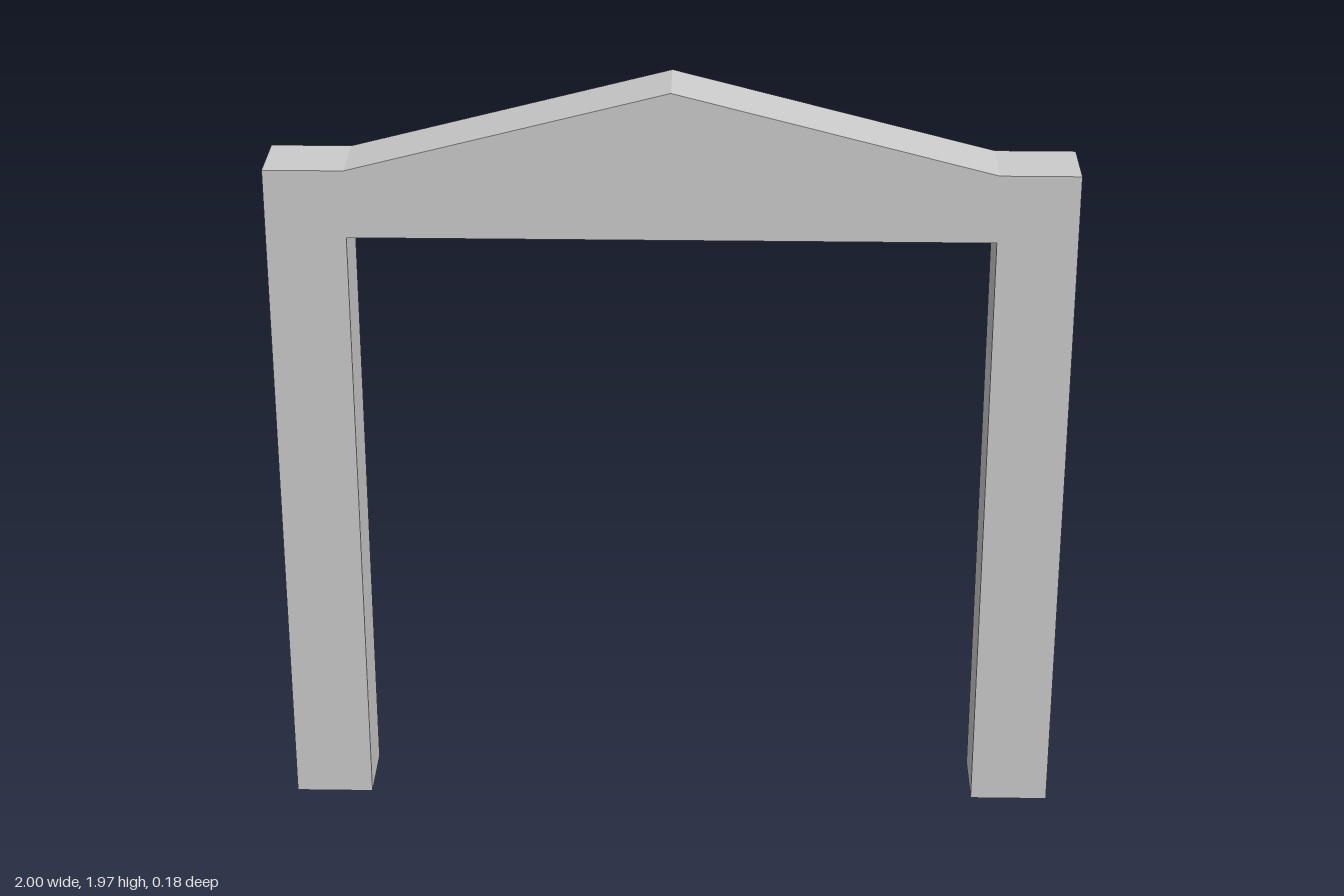
import * as THREE from 'three';

const DEPTH = 0.18;
const HALF_WIDTH = 1;
const INNER = 0.8;      // inner face of each post
const SHOULDER = 1.765; // top of the posts
const PEAK = 1.97;      // top of the gable
const UNDERSIDE = 1.59; // bottom of the lintel

export function createModel() {
  const group = new THREE.Group();
  group.name = 'gabledGateway';

  // Right half of the outline, from the foot of the post's inner face up to the shoulder
  const half = [
    [INNER, UNDERSIDE], [INNER, 0], [HALF_WIDTH, 0],
    [HALF_WIDTH, SHOULDER], [INNER, SHOULDER],
  ];
  const mirrored = half.map(([x, y]) => [-x, y]).reverse();
  const outline = [...half, [0, PEAK], ...mirrored].map(([x, y]) => new THREE.Vector2(x, y));

  // Two posts and the gabled lintel as one solid
  const geometry = new THREE.ExtrudeGeometry(new THREE.Shape(outline), {
    depth: DEPTH, bevelEnabled: false,
  });
  geometry.translate(0, 0, -DEPTH / 2);

  const frame = new THREE.Mesh(
    geometry,
    new THREE.MeshStandardMaterial({ color: 0xcccccc, flatShading: true }),
  );
  frame.name = 'gateFrame';
  group.add(frame);
  return group;
}
